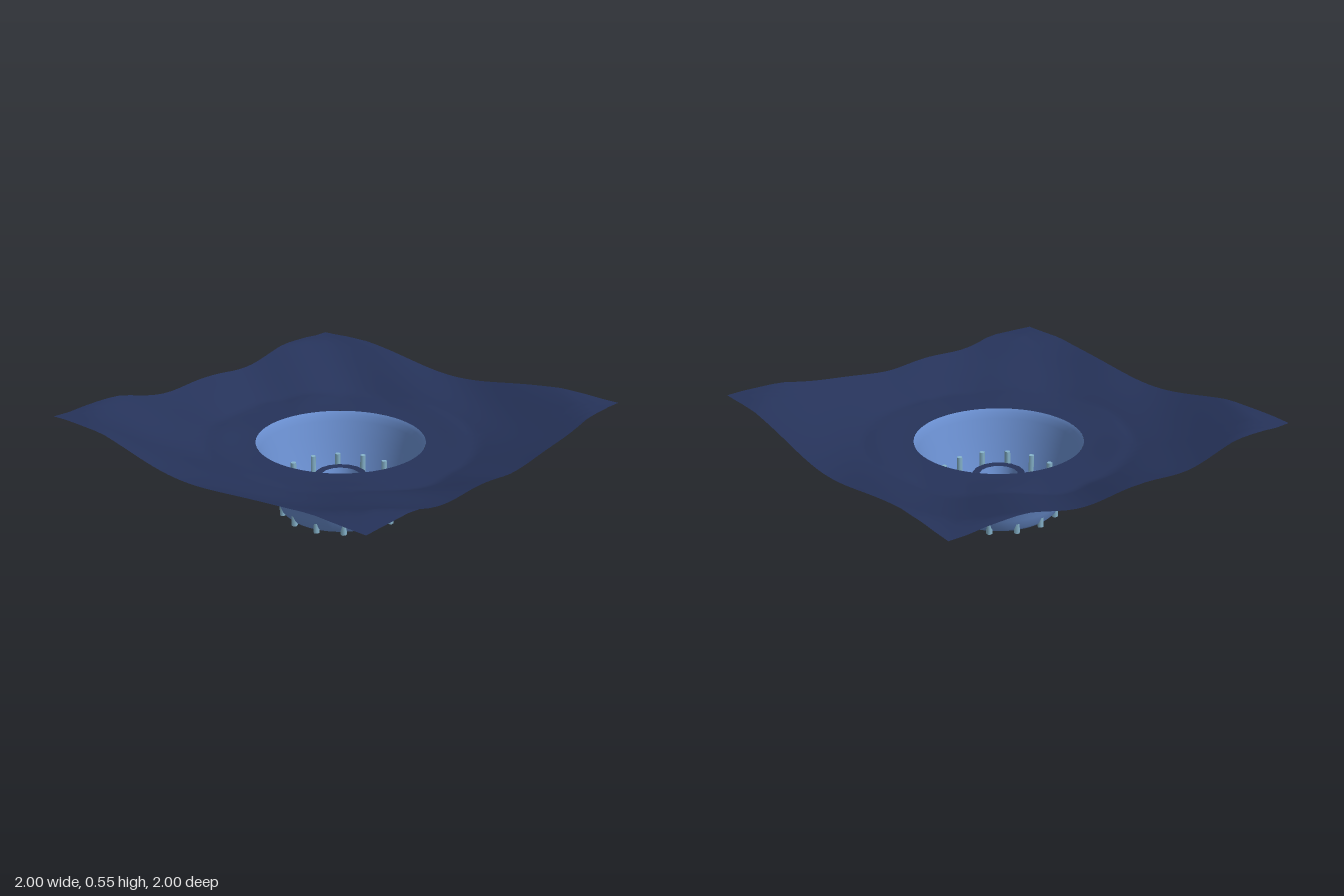
import * as THREE from 'three';

const RIM = 0.43, RIM_Y = 0.38, FLOOR_Y = 0.008;

const navy = new THREE.MeshStandardMaterial({ name: 'dark navy ground', color: 0x26335a, side: THREE.DoubleSide });
const blue = new THREE.MeshStandardMaterial({ name: 'blue slope', color: 0x6a8fd0, side: THREE.DoubleSide });
const pale = new THREE.MeshStandardMaterial({ name: 'pale teal posts', color: 0x86b4cc });

// Ground height: level near the rim, rising toward the corners, with soft ripples
function groundHeight(x, z) {
  const r = Math.hypot(x, z);
  const rise = 0.165 * THREE.MathUtils.clamp((r - 0.68) / 0.55, 0, 1);
  const ripple = 0.008 * Math.sin(x * 5 + Math.abs(z) * 11) + 0.007 * Math.sin(z * 9 - x * 7 + 1);
  const fade = THREE.MathUtils.smoothstep(r, RIM, 0.65);
  return THREE.MathUtils.clamp(RIM_Y + 0.006 * fade + rise + ripple * fade, RIM_Y, 0.55);
}

// Square sheet with a round hole, made of rings that grow from circle to square
function groundGeometry(rings = 28, segments = 128) {
  const positions = [], index = [];
  for (let i = 0; i <= rings; i++) {
    for (let j = 0; j <= segments; j++) {
      const a = (j / segments) * Math.PI * 2;
      const c = Math.cos(a), s = Math.sin(a);
      const edge = 1 / Math.max(Math.abs(c), Math.abs(s));
      const r = THREE.MathUtils.lerp(RIM, edge, i / rings);
      positions.push(c * r, groundHeight(c * r, s * r), s * r);
      if (i < rings && j < segments) {
        const p = i * (segments + 1) + j, q = p + segments + 1;
        index.push(p, p + 1, q, q, p + 1, q + 1);
      }
    }
  }
  const g = new THREE.BufferGeometry();
  g.setAttribute('position', new THREE.Float32BufferAttribute(positions, 3));
  g.setIndex(index);
  g.computeVertexNormals();
  return g;
}

export function createModel() {
  const model = new THREE.Group();
  model.name = 'crater';

  const add = (name, geometry, material) => {
    const mesh = new THREE.Mesh(geometry, material);
    mesh.name = name;
    model.add(mesh);
    return mesh;
  };
  const turned = (name, profile, material, sides) =>
    add(name, new THREE.LatheGeometry(profile.map(([r, y]) => new THREE.Vector2(r, y)), sides), material);

  add('ground', groundGeometry(), navy);

  // Crater bowl
  turned('craterWall', [
    [0.295, FLOOR_Y], [0.312, 0.025], [0.33, 0.075], [0.358, 0.16],
    [0.384, 0.25], [0.408, 0.33], [0.418, 0.362], [RIM, RIM_Y],
  ], blue, 64);
  turned('craterFloor', [[0.18, FLOOR_Y], [0.295, FLOOR_Y]], navy, 64);

  // Central mound with a pit in its top
  turned('moundSlope', [[0.18, FLOOR_Y], [0.165, 0.08], [0.135, 0.19]], blue, 16);
  turned('moundTop', [[0.135, 0.19], [0.1, 0.185]], navy, 16);
  turned('pitWall', [[0.062, 0.02], [0.078, 0.09], [0.1, 0.185]], blue, 16);
  turned('pitFloor', [[0, 0.02], [0.062, 0.02]], navy, 16);

  // Ring of posts at the foot of the wall
  const postGeometry = new THREE.CylinderGeometry(0.015, 0.016, 0.18, 6);
  const posts = 14;
  for (let i = 0; i < posts; i++) {
    const a = -0.094 + (i / posts) * Math.PI * 2;
    const post = add(`post${i + 1}`, postGeometry, pale);
    post.position.set(Math.cos(a) * 0.308, 0.09, Math.sin(a) * 0.308);
    post.rotation.y = -a;
  }

  return model;
}
